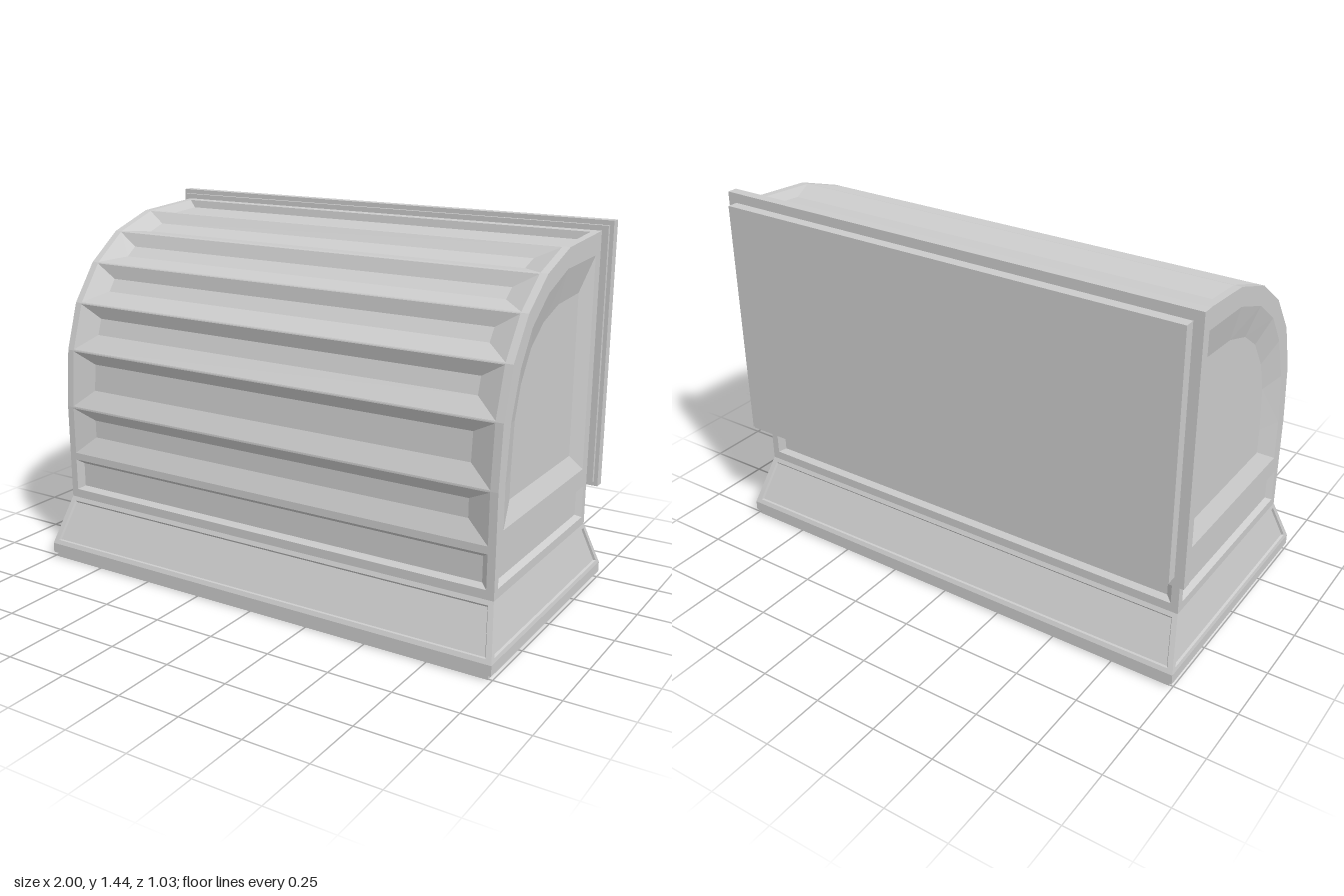
import * as THREE from 'three';

const material = new THREE.MeshStandardMaterial({ color: 0xcccccc, flatShading: true });
const V = (x, y, z) => new THREE.Vector3(x, y, z);

// Surface through nested loops of equal length, with the last loop capped
function nested(loops) {
  const p = [];
  const tri = (...pts) => pts.forEach(v => p.push(v.x, v.y, v.z));
  for (let k = 0; k + 1 < loops.length; k++) {
    const o = loops[k], n = loops[k + 1];
    o.forEach((v, i) => {
      const j = (i + 1) % o.length;
      tri(v, o[j], n[j]);
      tri(v, n[j], n[i]);
    });
  }
  const cap = loops[loops.length - 1];
  for (let i = 1; i + 1 < cap.length; i++) tri(cap[0], cap[i], cap[i + 1]);
  const g = new THREE.BufferGeometry();
  g.setAttribute('position', new THREE.Float32BufferAttribute(p, 3));
  g.computeVertexNormals();
  return g;
}

// Four-cornered wall with a sunken panel; margins are [side, bottom, top]
function pressedWall([a, b, c, d], rim, floor, depth) {
  const width = a.distanceTo(b), height = a.distanceTo(d);
  const normal = b.clone().sub(a).cross(d.clone().sub(a)).normalize();
  const loop = ([side, bottom, top], sink) => {
    const u = side / width, v0 = bottom / height, v1 = 1 - top / height;
    return [[u, v0], [1 - u, v0], [1 - u, v1], [u, v1]].map(([s, t]) =>
      a.clone().lerp(b, s).lerp(d.clone().lerp(c, s), t).addScaledVector(normal, -sink));
  };
  return nested([[a, b, c, d], loop(rim, 0), loop(floor, depth)]);
}

// Corners of a level rectangle, counterclockwise from above
const corners = (x, y, front, back) =>
  [V(-x, y, front), V(x, y, front), V(x, y, back), V(-x, y, back)];

export function createModel() {
  const model = new THREE.Group();
  const add = (parent, name, geometry) => {
    const m = new THREE.Mesh(geometry, material);
    m.name = name;
    parent.add(m);
    return m;
  };
  const group = name => {
    const g = new THREE.Group();
    g.name = name;
    model.add(g);
    return g;
  };
  const box = (parent, name, x, y0, y1, z0, z1) =>
    add(parent, name, new THREE.BoxGeometry(2 * x, y1 - y0, z1 - z0))
      .position.set(0, (y0 + y1) / 2, (z0 + z1) / 2);
  const walls = (parent, name, low, high, rim, floor, depth) => {
    for (let i = 0; i < 4; i++) {
      const j = (i + 1) % 4;
      add(parent, name, pressedWall([low[i], low[j], high[j], high[i]], rim, floor, depth));
    }
  };

  // Base flange with flared skirt
  const base = group('base');
  box(base, 'foot', 0.985, 0, 0.02, -0.505, 0.505);
  box(base, 'baseSlab', 1, 0.02, 0.06, -0.515, 0.515);
  walls(base, 'skirtPanel', corners(1, 0.06, 0.515, -0.515), corners(0.96, 0.25, 0.425, -0.42),
    [0.022, 0.018, 0.018], [0.027, 0.023, 0.023], 0.008);

  // Straight collar under the elbow
  const body = group('elbowDuct');
  walls(body, 'collarPanel', corners(0.96, 0.25, 0.425, -0.42), corners(0.96, 0.44, 0.425, -0.42),
    [0.03, 0.035, 0.025], [0.055, 0.05, 0.042], 0.02);

  // Curved front, one sunken rib panel per profile segment [z, y]
  const profile = [[0.425, 0.44], [0.425, 0.64], [0.405, 0.875], [0.345, 1.06], [0.235, 1.21],
    [0.085, 1.32], [-0.11, 1.385], [-0.42, 1.405]];
  const W = 0.96;
  for (let i = 0; i + 1 < profile.length; i++) {
    const [[z0, y0], [z1, y1]] = [profile[i], profile[i + 1]];
    const last = i === profile.length - 2;
    add(body, 'ribPanel', pressedWall(
      [V(-W, y0, z0), V(W, y0, z0), V(W, y1, z1), V(-W, y1, z1)],
      [0.03, 0.004, last ? 0.035 : 0.004],
      last ? [0.055, 0.09, 0.042] : [0.12, 0.078, 0.05], 0.03));
  }

  // Elbow cheeks with a sunken panel following the curve
  const rim = [[0.37, 0.49], [0.37, 0.65], [0.345, 0.86], [0.285, 1.03], [0.2, 1.155],
    [0.07, 1.25], [-0.1, 1.31], [-0.37, 1.32], [-0.37, 0.49]];
  const floor = [[0.26, 0.56], [0.26, 0.66], [0.245, 0.84], [0.205, 0.96], [0.13, 1.07],
    [0.03, 1.14], [-0.1, 1.18], [-0.295, 1.19], [-0.295, 0.56]];
  const outline = [...profile, [-0.42, 0.44]];
  for (const side of [1, -1]) {
    const loop = (pts, x) => {
      const l = pts.map(([z, y]) => V(side * x, y, z));
      return side > 0 ? l.reverse() : l;
    };
    add(body, side > 0 ? 'leftCheek' : 'rightCheek',
      nested([loop(outline, W), loop(rim, W), loop(floor, W - 0.03)]));
  }

  // Back wall closing the elbow behind the flange
  add(body, 'backWall', nested([[V(W, 0.44, -0.42), V(-W, 0.44, -0.42),
    V(-W, 1.405, -0.42), V(W, 1.405, -0.42)]]));

  // Stepped rear flange
  const flange = group('rearFlange');
  box(flange, 'gasket', 0.985, 0.425, 1.425, -0.437, -0.42);
  box(flange, 'flangePlate', 1, 0.407, 1.443, -0.475, -0.435);
  box(flange, 'outletBlock', 0.962, 0.445, 1.405, -0.517, -0.475);

  return model;
}
